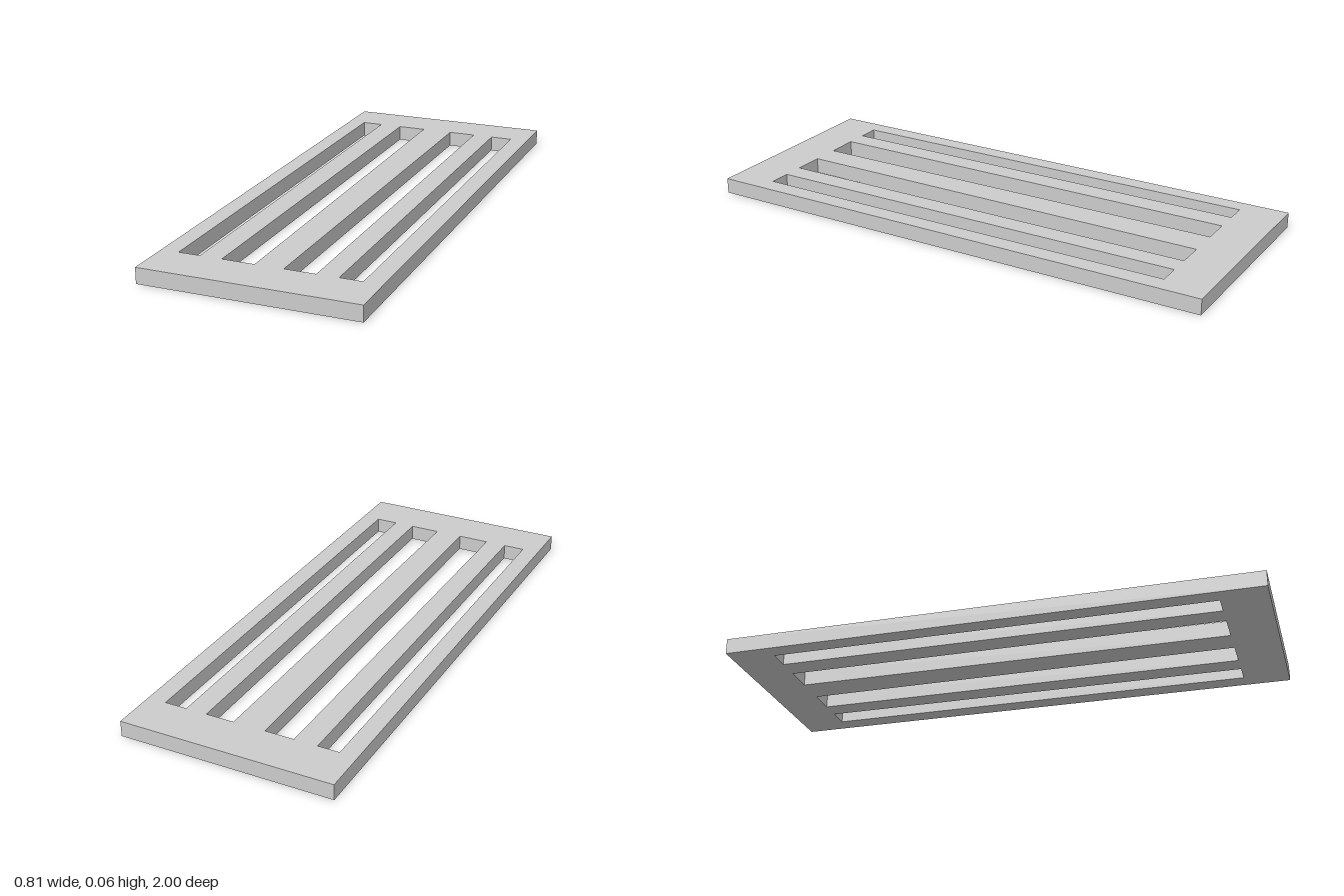
import * as THREE from 'three';

const HALF_WIDTH = 0.403, HEIGHT = 0.059;
const SLOT_BACK = -0.834, SLOT_FRONT = 0.829;

// Slot edges in x: [left at back, right at back, left at front, right at front]
const SLOTS = [
  [-0.337, -0.256, -0.337, -0.256],
  [-0.168, -0.058, -0.174, -0.053],
  [0.063, 0.169, 0.053, 0.169],
  [0.249, 0.333, 0.249, 0.333],
];

// Closed outline from [x, z] corners; shape y becomes -z once laid flat
const outline = (Type, corners) => new Type(corners.map(([x, z]) => new THREE.Vector2(x, -z)));

export function createModel() {
  const group = new THREE.Group();
  group.name = 'slottedGrate';

  // Flat rectangular plate
  const plate = outline(THREE.Shape, [
    [-HALF_WIDTH, 1], [HALF_WIDTH, 1], [HALF_WIDTH, -1], [-HALF_WIDTH, -1],
  ]);

  // Four long slots, the inner pair slightly tapered
  for (const [backL, backR, frontL, frontR] of SLOTS) {
    plate.holes.push(outline(THREE.Path, [
      [backL, SLOT_BACK], [backR, SLOT_BACK], [frontR, SLOT_FRONT], [frontL, SLOT_FRONT],
    ]));
  }

  const geometry = new THREE.ExtrudeGeometry(plate, { depth: HEIGHT, bevelEnabled: false });
  geometry.rotateX(-Math.PI / 2);

  const grate = new THREE.Mesh(geometry, new THREE.MeshStandardMaterial({ color: 0xcccccc }));
  grate.name = 'grate';
  group.add(grate);
  return group;
}
